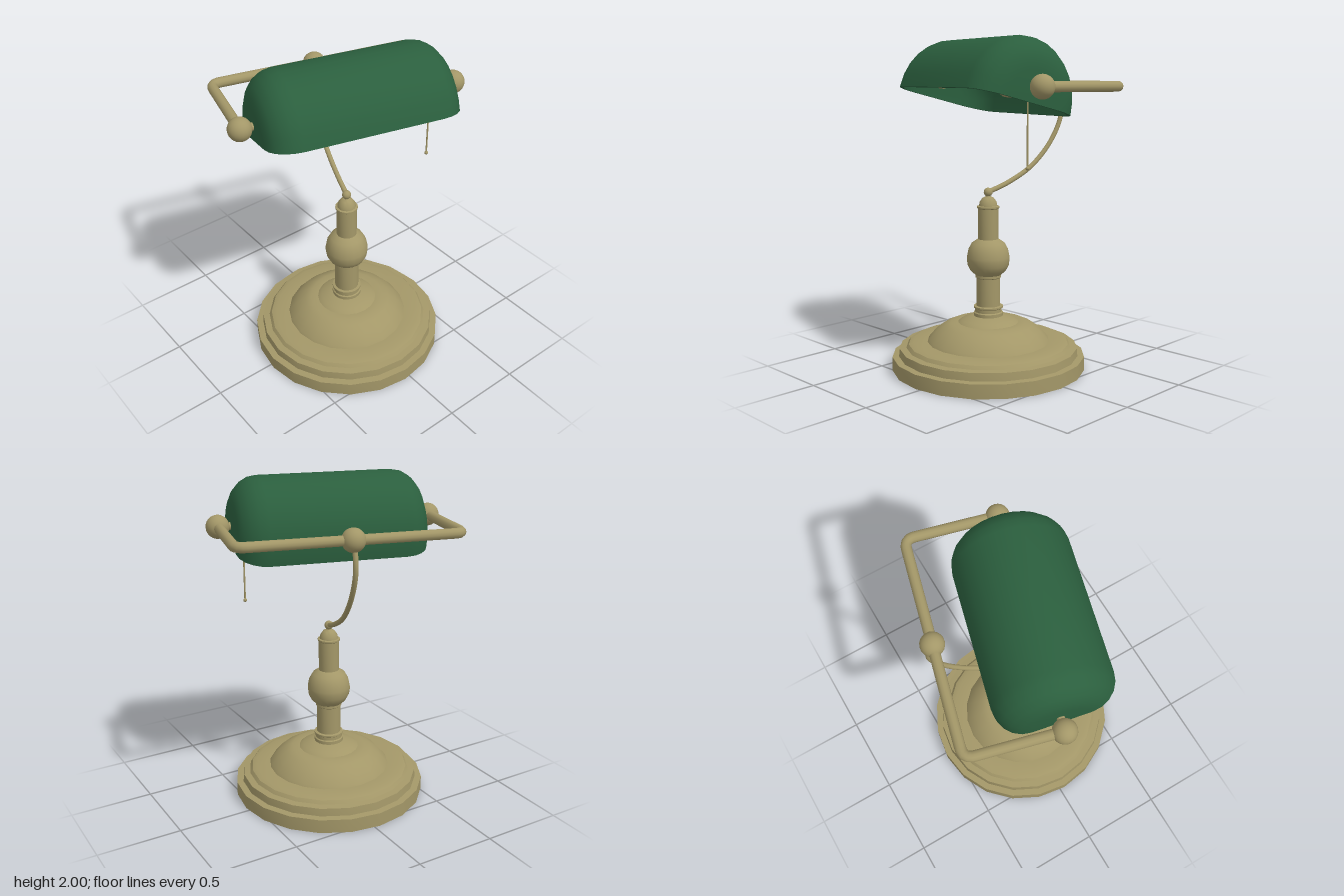
import * as THREE from 'three';
import { toCreasedNormals } from 'three/addons/utils/BufferGeometryUtils.js';

const brass = new THREE.MeshStandardMaterial({ color: 0xa39768 });
brass.name = 'brass';
const green = new THREE.MeshStandardMaterial({ color: 0x2b5f3e });
green.name = 'green glass';

const V = (x, y, z) => new THREE.Vector3(x, y, z);

function add(parent, name, geometry, material, x = 0, y = 0, z = 0) {
  const mesh = new THREE.Mesh(geometry, material);
  mesh.name = name;
  mesh.position.set(x, y, z);
  parent.add(mesh);
  return mesh;
}

const ball = (r) => new THREE.SphereGeometry(r, 20, 14);

function turned(profile, sides) {
  const points = profile.map(([r, y]) => new THREE.Vector2(r, y));
  return toCreasedNormals(new THREE.LatheGeometry(points, sides), 0.6);
}

// Half-elliptical trough with rounded ends; each loop runs over the outside and back inside
function shadeGeometry() {
  const A = 0.335, B = 0.37, WALL = 0.018, ARC = 14, STEPS = 5;
  const half = [];
  for (let k = 0; k <= STEPS; k++) {
    const a = (k / STEPS) * Math.PI / 2;
    half.push([0.4 + 0.165 * Math.sin(a), 0.5 + 0.5 * Math.cos(a)]);
  }
  half.push([0.565, 0]);
  const stations = [...half.map(([z, s]) => [-z, s]).reverse(), ...half];
  const pos = [], index = [];
  const loop = 2 * (ARC + 1);
  for (const [z, s] of stations) {
    for (let j = 0; j < loop; j++) {
      const inner = j > ARC;
      const t = ((inner ? loop - 1 - j : j) / ARC) * Math.PI;
      const w = inner ? WALL : 0;
      pos.push(s * (A - w) * Math.cos(t), s * (B - w) * Math.sin(t), inner ? z * 0.968 : z);
    }
  }
  for (let i = 0; i < stations.length - 1; i++) {
    for (let j = 0; j < loop; j++) {
      const a = i * loop + j, b = i * loop + (j + 1) % loop;
      index.push(a, b, a + loop, b, b + loop, a + loop);
    }
  }
  const g = new THREE.BufferGeometry();
  g.setAttribute('position', new THREE.Float32BufferAttribute(pos, 3));
  g.setIndex(index);
  return toCreasedNormals(g, 0.8);
}

// U-shaped yoke path with rounded corners
function yokePath() {
  const X = -0.53, Z = 0.638, R = 0.06;
  const path = new THREE.CurvePath();
  path.add(new THREE.LineCurve3(V(0, 0, -Z), V(X + R, 0, -Z)));
  path.add(new THREE.QuadraticBezierCurve3(V(X + R, 0, -Z), V(X, 0, -Z), V(X, 0, -Z + R)));
  path.add(new THREE.LineCurve3(V(X, 0, -Z + R), V(X, 0, Z - R)));
  path.add(new THREE.QuadraticBezierCurve3(V(X, 0, Z - R), V(X, 0, Z), V(X + R, 0, Z)));
  path.add(new THREE.LineCurve3(V(X + R, 0, Z), V(0, 0, Z)));
  return path;
}

export function createModel() {
  const lamp = new THREE.Group();
  lamp.name = 'deskLamp';
  const CX = 0.032, CZ = 0.035;

  // Stepped round foot
  add(lamp, 'base', turned([
    [0, 0], [0.59, 0], [0.59, 0.085], [0.55, 0.088], [0.545, 0.135], [0.505, 0.14],
    [0.49, 0.16], [0.46, 0.17], [0.375, 0.17], [0.365, 0.185], [0.32, 0.235],
    [0.27, 0.268], [0.23, 0.285], [0.185, 0.285], [0.16, 0.302], [0.09, 0.325], [0, 0.325],
  ], 20), brass, CX, 0, CZ);

  // Turned column with a swelling in the middle
  add(lamp, 'column', turned([
    [0.09, 0.32], [0.09, 0.345], [0.083, 0.35], [0.083, 0.37], [0.09, 0.375], [0.09, 0.385],
    [0.074, 0.388], [0.074, 0.56], [0.08, 0.565], [0.08, 0.58], [0.108, 0.605],
    [0.126, 0.64], [0.131, 0.675], [0.131, 0.69], [0.122, 0.735], [0.1, 0.775],
    [0.068, 0.797], [0.062, 0.8], [0.062, 0.985], [0.068, 0.99], [0.068, 1.0],
    [0.056, 1.003], [0.052, 1.025], [0.035, 1.05], [0.015, 1.06], [0.015, 1.08],
  ], 20), brass, CX, 0, CZ);
  add(lamp, 'columnFinial', ball(0.027), brass, CX, 1.085, CZ);

  // Thin curved neck up to the yoke
  const neck = [[0.032, 1.085], [-0.11, 1.14], [-0.27, 1.235], [-0.41, 1.395], [-0.475, 1.56], [-0.445, 1.72]]
    .map(([x, y]) => V(x, y, CZ + (x - CX) * 0.273));
  add(lamp, 'neck', new THREE.TubeGeometry(new THREE.CatmullRomCurve3(neck), 40, 0.015, 10), brass);

  // Head, turned slightly about the vertical
  const head = new THREE.Group();
  head.name = 'head';
  head.position.set(0.0725, 1.72, 0.0375);
  head.rotation.y = -0.257;
  lamp.add(head);

  add(head, 'yoke', new THREE.TubeGeometry(yokePath(), 100, 0.03, 12), brass);
  add(head, 'yokeJoint', ball(0.068), brass, -0.53, 0, 0);
  for (const side of [-1, 1]) {
    add(head, 'pivotKnob', ball(0.068), brass, 0, 0, side * 0.638);
    const pin = add(head, 'pivotPin', new THREE.CylinderGeometry(0.022, 0.022, 0.14, 12), brass, 0, 0, side * 0.57);
    pin.rotation.x = Math.PI / 2;
  }

  const shade = add(head, 'shade', shadeGeometry(), green, 0.0125, -0.088, 0);
  shade.rotation.z = 0.253;

  // Bulb holder inside the shade
  const socket = add(head, 'socket', turned([
    [0, -0.23], [0.04, -0.2], [0.04, -0.06], [0.06, -0.04], [0.062, 0.07], [0.045, 0.1], [0, 0.11],
  ], 16), brass, 0, 0, -0.34);
  socket.rotation.x = Math.PI / 2;

  // Pull chain
  add(head, 'pullChain', new THREE.CylinderGeometry(0.005, 0.005, 0.43, 8), brass, 0, -0.235, -0.493);
  add(head, 'pullChainEnd', ball(0.011), brass, 0, -0.446, -0.493);

  return lamp;
}
